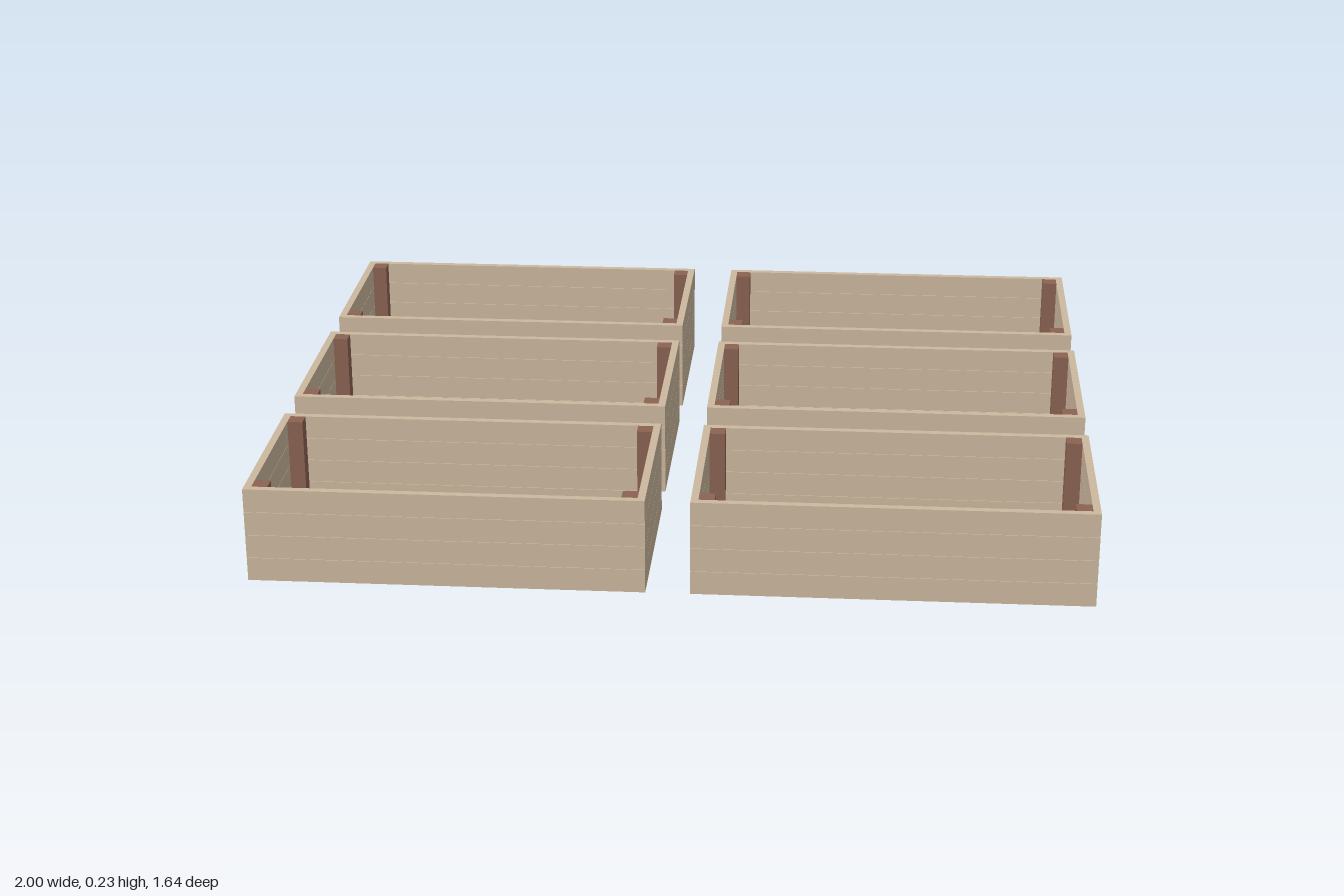
import * as THREE from 'three';

// One bed: overall size, board thickness, post width, number of stacked boards
const LENGTH = 0.947, DEPTH = 0.472, HEIGHT = 0.236;
const THICK = 0.018, POST = 0.038, ROWS = 4, GAP = 0.001;

const boardMat = new THREE.MeshStandardMaterial({ color: 0xcdb89e });
const postMat = new THREE.MeshStandardMaterial({ color: 0x8b6352 });

function addBox(parent, name, size, position, material) {
  const mesh = new THREE.Mesh(new THREE.BoxGeometry(...size), material);
  mesh.position.set(...position);
  mesh.name = name;
  parent.add(mesh);
}

function createBed() {
  const bed = new THREE.Group();
  const pitch = HEIGHT / ROWS;
  const boardHeight = pitch - GAP;

  // Stacked boards: long sides run full length, end boards fit between them
  for (let row = 0; row < ROWS; row++) {
    const y = (row + 0.5) * pitch;
    for (const s of [-1, 1]) {
      addBox(bed, 'sideBoard', [LENGTH, boardHeight, THICK],
        [0, y, s * (DEPTH - THICK) / 2], boardMat);
      addBox(bed, 'endBoard', [THICK, boardHeight, DEPTH - 2 * THICK],
        [s * (LENGTH - THICK) / 2, y, 0], boardMat);
    }
  }

  // Square posts inside the four corners
  for (const sx of [-1, 1]) {
    for (const sz of [-1, 1]) {
      addBox(bed, 'cornerPost', [POST, HEIGHT - GAP, POST],
        [sx * (LENGTH / 2 - THICK - POST / 2), HEIGHT / 2, sz * (DEPTH / 2 - THICK - POST / 2)], postMat);
    }
  }
  return bed;
}

export function createModel() {
  const model = new THREE.Group();
  model.name = 'raisedBeds';

  // Two columns of three beds
  for (const column of [-1, 1]) {
    for (const row of [-1, 0, 1]) {
      const bed = createBed();
      bed.name = 'raisedBed';
      bed.position.set(column * (1 - LENGTH / 2), 0, row * 0.585);
      model.add(bed);
    }
  }
  return model;
}
